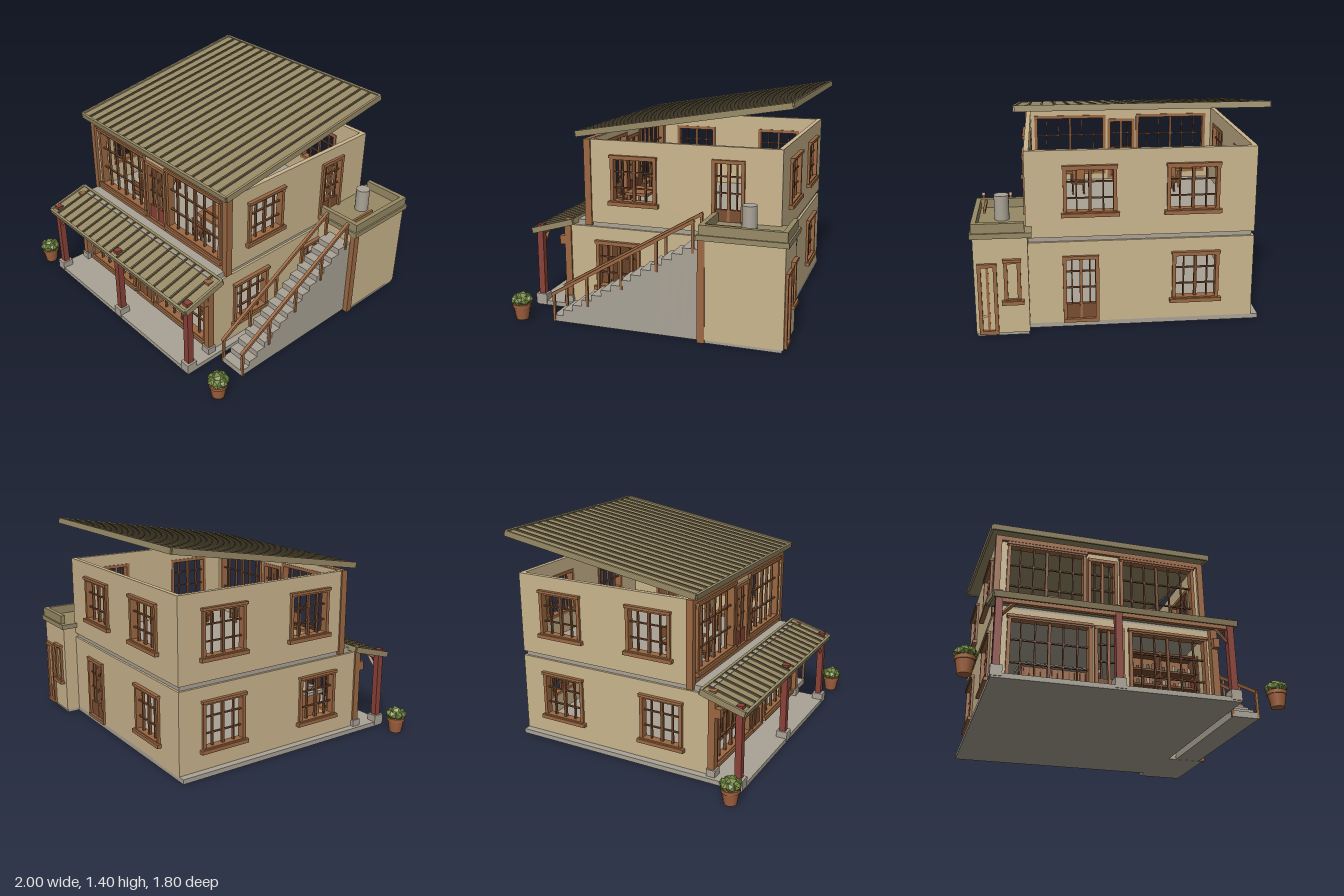
import * as THREE from 'three';

const mat = (name, color, extra = {}) => Object.assign(new THREE.MeshStandardMaterial({ color, ...extra }), { name });
const plaster = mat('plaster', 0xcbb68e);
const wood = mat('wood', 0x9c6842);
const darkWood = mat('dark wood', 0x7a4e32);
const red = mat('red paint', 0x8a4238);
const roofing = mat('roof sheet', 0x988a66);
const seam = mat('roof seam', 0x665b40);
const stone = mat('stone', 0xaaa396);
const leaf = mat('leaves', 0x748a42);
const clay = mat('clay', 0xa5643f);
const bottle = mat('bottle green', 0x4f6148);

function add(parent, name, geo, material, x = 0, y = 0, z = 0) {
  const m = new THREE.Mesh(geo, material);
  m.name = name;
  m.position.set(x, y, z);
  parent.add(m);
  return m;
}
// box given by its minimum and maximum on each axis
const box = (p, name, material, x0, x1, y0, y1, z0, z1) =>
  add(p, name, new THREE.BoxGeometry(x1 - x0, y1 - y0, z1 - z0), material, (x0 + x1) / 2, (y0 + y1) / 2, (z0 + z1) / 2);
function group(parent, name) {
  const g = new THREE.Group();
  g.name = name;
  parent.add(g);
  return g;
}
// square bar between two points
function beam(p, name, material, a, b, t) {
  const A = new THREE.Vector3(...a), B = new THREE.Vector3(...b), d = B.clone().sub(A);
  const m = add(p, name, new THREE.BoxGeometry(t, t, d.length()), material);
  m.position.copy(A).lerp(B, 0.5);
  m.quaternion.setFromUnitVectors(new THREE.Vector3(0, 0, 1), d.normalize());
}

// timber frame with glazing bars; o = [kind, u0, u1, y0, y1, columns, rows]
function joinery(p, [kind, u0, u1, y0, y1, cols, rows], z) {
  const g = group(p, kind), f = 0.022, b = 0.004;
  for (const [a, c] of [[u0, u0 + f], [u1 - f, u1]]) box(g, 'jamb', wood, a, c, y0, y1, z - 0.035, z + 0.015);
  for (const [a, c] of [[y0, y0 + f], [y1 - f, y1]]) box(g, 'rail', wood, u0, u1, a, c, z - 0.035, z + 0.018);
  let low = y0;
  if (kind.includes('oor')) {
    low = y0 + (y1 - y0) * 0.27;
    box(g, 'doorPanel', kind === 'redDoor' ? red : darkWood, u0 + f, u1 - f, y0 + f, low, z - 0.025, z);
    box(g, 'doorMiddle', wood, (u0 + u1) / 2 - 0.008, (u0 + u1) / 2 + 0.008, y0, y1, z - 0.028, z + 0.004);
  } else {
    box(g, 'sill', wood, u0 - 0.015, u1 + 0.015, y0 - 0.01, y0 + 0.014, z - 0.02, z + 0.03);
    box(g, 'head', wood, u0 - 0.005, u1 + 0.005, y1 - 0.012, y1 + 0.005, z - 0.02, z + 0.025);
  }
  for (let i = 1; i < cols; i++) {
    const u = u0 + (u1 - u0) * i / cols, w = i * 2 === cols ? 0.009 : b;
    box(g, 'upright', darkWood, u - w, u + w, low, y1, z - 0.02, z - 0.002);
  }
  for (let i = 1; i < rows; i++) {
    const y = low + (y1 - low) * i / rows;
    box(g, 'crossbar', darkWood, u0, u1, y - b, y + b, z - 0.018, z - 0.004);
  }
}

// pierced wall facing +z, then turned to its side
function wall(parent, name, turn, offset, u0, u1, y0, y1, openings) {
  const g = group(parent, name);
  g.rotation.y = turn;
  const rect = (C, a, b, c, d) => new C([[a, c], [b, c], [b, d], [a, d]].map(q => new THREE.Vector2(...q)));
  const s = rect(THREE.Shape, u0, u1, y0, y1);
  for (const [, a, b, c, d] of openings) s.holes.push(rect(THREE.Path, a + 0.01, b - 0.01, c + 0.01, d - 0.01));
  add(g, 'plasterWall', new THREE.ExtrudeGeometry(s, { depth: 0.03, bevelEnabled: false }), plaster, 0, 0, offset - 0.03);
  openings.forEach(o => joinery(g, o, offset));
}

// sloping sheet roof with raised seams, from high back edge to low front edge
function slopedRoof(parent, name, x0, x1, zBack, yBack, zFront, yFront) {
  const g = group(parent, name), dz = zFront - zBack, dy = yBack - yFront, L = Math.hypot(dz, dy), n = 19;
  g.position.set((x0 + x1) / 2, (yBack + yFront) / 2, (zBack + zFront) / 2);
  g.rotation.x = Math.atan2(dy, dz);
  const w = (x1 - x0) / 2;
  box(g, 'sheet', roofing, -w, w, -0.012, 0.01, -L / 2, L / 2);
  for (let i = 1; i < n; i++) {
    const x = -w + 2 * w * i / n;
    box(g, 'seam', seam, x - 0.006, x + 0.006, 0.009, 0.02, -L / 2 + 0.01, L / 2 - 0.01);
  }
  for (const s of [-1, 1]) {
    box(g, 'sideTrim', roofing, s * w - 0.008, s * w + 0.008, -0.018, 0.02, -L / 2, L / 2);
    box(g, 'edgeTrim', roofing, -w, w, -0.018, 0.018, s * L / 2 - 0.008, s * L / 2 + 0.008);
  }
}

function pottedPlant(parent, x, z) {
  const g = group(parent, 'pottedPlant');
  g.position.set(x, 0, z);
  add(g, 'pot', new THREE.CylinderGeometry(0.055, 0.04, 0.085, 12), clay, 0, 0.0425, 0);
  add(g, 'potRim', new THREE.CylinderGeometry(0.061, 0.059, 0.022, 12), clay, 0, 0.09, 0);
  const ball = new THREE.IcosahedronGeometry(0.032, 0);
  leaf.flatShading = true;
  for (let i = 0; i < 7; i++) {
    const a = i * Math.PI * 2 / 7;
    add(g, 'leaves', ball, leaf, Math.cos(a) * 0.04, 0.125, Math.sin(a) * 0.04).rotation.y = a;
  }
  add(g, 'leafTop', new THREE.IcosahedronGeometry(0.042, 0), leaf, 0, 0.138, 0);
}

function diningSet(parent, x, z) {
  const g = group(parent, 'diningSet');
  g.position.set(x, 0.59, z);
  box(g, 'tableTop', wood, -0.11, 0.11, 0.125, 0.143, -0.08, 0.08);
  for (const sx of [-1, 1]) for (const sz of [-1, 1])
    box(g, 'tableLeg', wood, sx * 0.09 - 0.008, sx * 0.09 + 0.008, 0, 0.13, sz * 0.06 - 0.008, sz * 0.06 + 0.008);
  for (const s of [-1, 1]) {
    const c = group(g, 'chair');
    c.position.z = s * 0.14;
    box(c, 'seat', darkWood, -0.045, 0.045, 0.075, 0.088, -0.04, 0.04);
    box(c, 'chairBack', wood, -0.045, 0.045, 0.11, 0.18, s * 0.035 - 0.005, s * 0.035 + 0.005);
    for (const a of [-1, 1]) for (const b of [-1, 1])
      box(c, 'chairLeg', darkWood, a * 0.038 - 0.006, a * 0.038 + 0.006, 0, b === s ? 0.15 : 0.08, b * 0.034 - 0.006, b * 0.034 + 0.006);
  }
}

export function createModel() {
  const root = new THREE.Group();
  root.name = 'teaHouse';
  const PI = Math.PI;

  // ground slab, upper floor
  box(root, 'baseSlab', stone, -0.8, 0.68, 0, 0.03, -0.78, 0.84);
  box(root, 'upperFloor', stone, -0.74, 0.62, 0.55, 0.592, -0.765, 0.6);

  // lower storey walls
  wall(root, 'lowerFront', 0, 0.6, -0.755, 0.635, 0.03, 0.555, [
    ['shopBay', -0.685, -0.165, 0.06, 0.5, 6, 3], ['door', -0.15, 0.04, 0.032, 0.5, 4, 3], ['shopBay', 0.07, 0.585, 0.06, 0.5, 6, 3]]);
  wall(root, 'lowerBack', PI, 0.78, -0.635, 0.755, 0.02, 0.555, [
    ['window', 0.25, 0.54, 0.15, 0.465, 4, 3], ['door', -0.42, -0.2, 0.032, 0.465, 4, 3]]);
  wall(root, 'lowerRight', PI / 2, 0.635, -0.62, 0.78, 0.02, 0.555, [
    ['window', -0.42, -0.12, 0.15, 0.465, 4, 3], ['window', 0.2, 0.5, 0.15, 0.465, 4, 3]]);
  wall(root, 'lowerLeft', -PI / 2, 0.755, -0.78, 0.62, 0.02, 0.555, [
    ['window', -0.62, -0.31, 0.15, 0.465, 4, 3], ['window', 0.12, 0.42, 0.15, 0.465, 4, 3]]);

  // upper storey walls
  wall(root, 'upperFront', 0, 0.47, -0.755, 0.635, 0.585, 1.12, [
    ['frontBay', -0.685, -0.165, 0.635, 1.08, 6, 3], ['redDoor', -0.155, 0.045, 0.6, 1.05, 4, 3], ['frontBay', 0.06, 0.58, 0.635, 1.08, 6, 3]]);
  wall(root, 'upperBack', PI, 0.78, -0.635, 0.755, 0.585, 1.12, [
    ['window', 0.21, 0.53, 0.725, 1.025, 4, 3], ['window', -0.41, -0.09, 0.725, 1.025, 4, 3]]);
  wall(root, 'upperRight', PI / 2, 0.635, -0.48, 0.78, 0.585, 1.12, [
    ['window', -0.31, -0.005, 0.72, 1.025, 4, 3], ['door', 0.35, 0.555, 0.62, 1.04, 4, 3]]);
  wall(root, 'upperLeft', -PI / 2, 0.755, -0.78, 0.48, 0.585, 1.12, [
    ['window', -0.62, -0.31, 0.72, 1.025, 4, 3], ['window', 0.03, 0.34, 0.72, 1.025, 4, 3]]);

  // timber corner posts and beams
  for (const x of [-0.745, 0.625]) {
    box(root, 'upperPost', wood, x - 0.02, x + 0.02, 0.565, 1.12, 0.445, 0.49);
    box(root, 'lowerPost', wood, x - 0.022, x + 0.022, 0.03, 0.59, 0.595, 0.64);
    box(root, 'postFoot', stone, x - 0.032, x + 0.032, 0.02, 0.075, 0.59, 0.65);
    box(root, 'lantern', wood, x - 0.02, x + 0.02, 0.42, 0.48, 0.64, 0.675);
  }
  box(root, 'topBeam', wood, -0.765, 0.645, 1.09, 1.122, 0.45, 0.49);
  box(root, 'floorBeam', wood, -0.75, 0.63, 0.592, 0.625, 0.46, 0.485);

  // roofs
  slopedRoof(root, 'mainRoof', -0.795, 0.675, -0.835, 1.38, 0.525, 1.155);
  slopedRoof(root, 'porchRoof', -0.805, 0.685, 0.56, 0.588, 0.85, 0.505);

  // porch posts with braces
  for (const x of [-0.77, -0.06, 0.65]) {
    box(root, 'porchPost', red, x - 0.021, x + 0.021, 0.03, 0.545, 0.785, 0.827);
    box(root, 'porchPostFoot', stone, x - 0.034, x + 0.034, 0.01, 0.075, 0.77, 0.845);
    const s = x < -0.5 ? 1 : -1;
    if (Math.abs(x) > 0.5) beam(root, 'brace', wood, [x, 0.38, 0.806], [x + s * 0.11, 0.5, 0.806], 0.018);
  }
  box(root, 'porchBeam', wood, -0.77, 0.65, 0.475, 0.5, 0.795, 0.82);

  // counter with bowls
  const counter = group(root, 'counter');
  box(counter, 'counterBody', wood, -0.565, -0.09, 0.03, 0.24, 0.36, 0.47);
  box(counter, 'counterTop', stone, -0.585, -0.07, 0.24, 0.262, 0.34, 0.49);
  for (let i = 0; i < 14; i++) box(counter, 'slat', darkWood, -0.555 + i * 0.035, -0.548 + i * 0.035, 0.05, 0.23, 0.468, 0.476);
  for (const x of [-0.52, -0.41, -0.3, -0.2])
    add(counter, 'bowl', new THREE.CylinderGeometry(0.026, 0.014, 0.024, 12), stone, x, 0.274, 0.42);

  // shelves with bottles
  const shelves = group(root, 'shelves');
  box(shelves, 'shelfBack', wood, 0.09, 0.57, 0.03, 0.45, 0.34, 0.355);
  for (const y of [0.09, 0.21, 0.31, 0.43]) box(shelves, 'shelf', darkWood, 0.09, 0.57, y, y + 0.014, 0.35, 0.45);
  for (const x of [0.09, 0.325, 0.56]) box(shelves, 'shelfSide', darkWood, x, x + 0.012, 0.03, 0.45, 0.35, 0.45);
  [0.104, 0.224, 0.324].forEach((y, r) => {
    for (let i = 0; i < 13; i++) {
      const h = 0.03 + ((i * 5 + r * 3) % 4) * 0.007;
      add(shelves, 'bottle', new THREE.CylinderGeometry(0.01, 0.011, h, 8), [bottle, red, stone][(i + r) % 3], 0.12 + i * 0.035, y + h / 2, 0.41);
    }
  });
  diningSet(root, -0.36, 0.24);
  diningSet(root, 0.28, 0.24);

  // side annex with roof terrace
  const annex = group(root, 'annex');
  box(annex, 'annexBase', stone, 0.63, 0.94, 0, 0.02, -0.86, -0.37);
  box(annex, 'annexWalls', plaster, 0.625, 0.945, 0.02, 0.63, -0.87, -0.365);
  box(annex, 'terrace', roofing, 0.6, 0.96, 0.628, 0.66, -0.89, -0.35);
  for (const z of [-0.88, -0.392]) box(annex, 'parapet', roofing, 0.64, 0.95, 0.66, 0.718, z, z + 0.03);
  box(annex, 'parapet', roofing, 0.92, 0.95, 0.66, 0.718, -0.88, -0.362);
  box(annex, 'annexPost', wood, 0.915, 0.95, 0, 0.628, -0.4, -0.355);
  const rear = group(annex, 'rearOpenings');
  rear.rotation.y = PI;
  joinery(rear, ['door', -0.925, -0.81, 0.02, 0.47, 2, 3], 0.87);
  joinery(rear, ['window', -0.77, -0.67, 0.22, 0.49, 2, 3], 0.87);
  add(annex, 'waterTank', new THREE.CylinderGeometry(0.045, 0.045, 0.155, 24), stone, 0.78, 0.737, -0.62);
  box(annex, 'terraceBar', wood, 0.88, 0.895, 0.69, 0.71, -0.595, -0.37);

  // outside stair with handrails
  const stair = group(root, 'stair'), run = 0.0655;
  for (let i = 0; i < 14; i++)
    box(stair, 'step', stone, 0.735, 0.91, 0, 0.04 * (i + 1), 0.6 - run * (i + 1), 0.6 - run * i);
  box(stair, 'landing', stone, 0.735, 0.91, 0, 0.56, -0.365, 0.6 - run * 14);
  for (const x of [0.737, 0.908]) {
    beam(stair, 'handrail', wood, [x, 0.175, 0.605], [x, 0.73, -0.325], 0.02);
    for (let i = 0; i < 5; i++) {
      const z = 0.592 - i * 0.2275, y = 0.175 + i * 0.137;
      box(stair, 'railPost', wood, x - 0.008, x + 0.008, Math.max(0, y - 0.19), y, z - 0.008, z + 0.008);
    }
  }

  pottedPlant(root, -0.938, 0.83);
  pottedPlant(root, 0.928, 0.81);
  return root;
}
